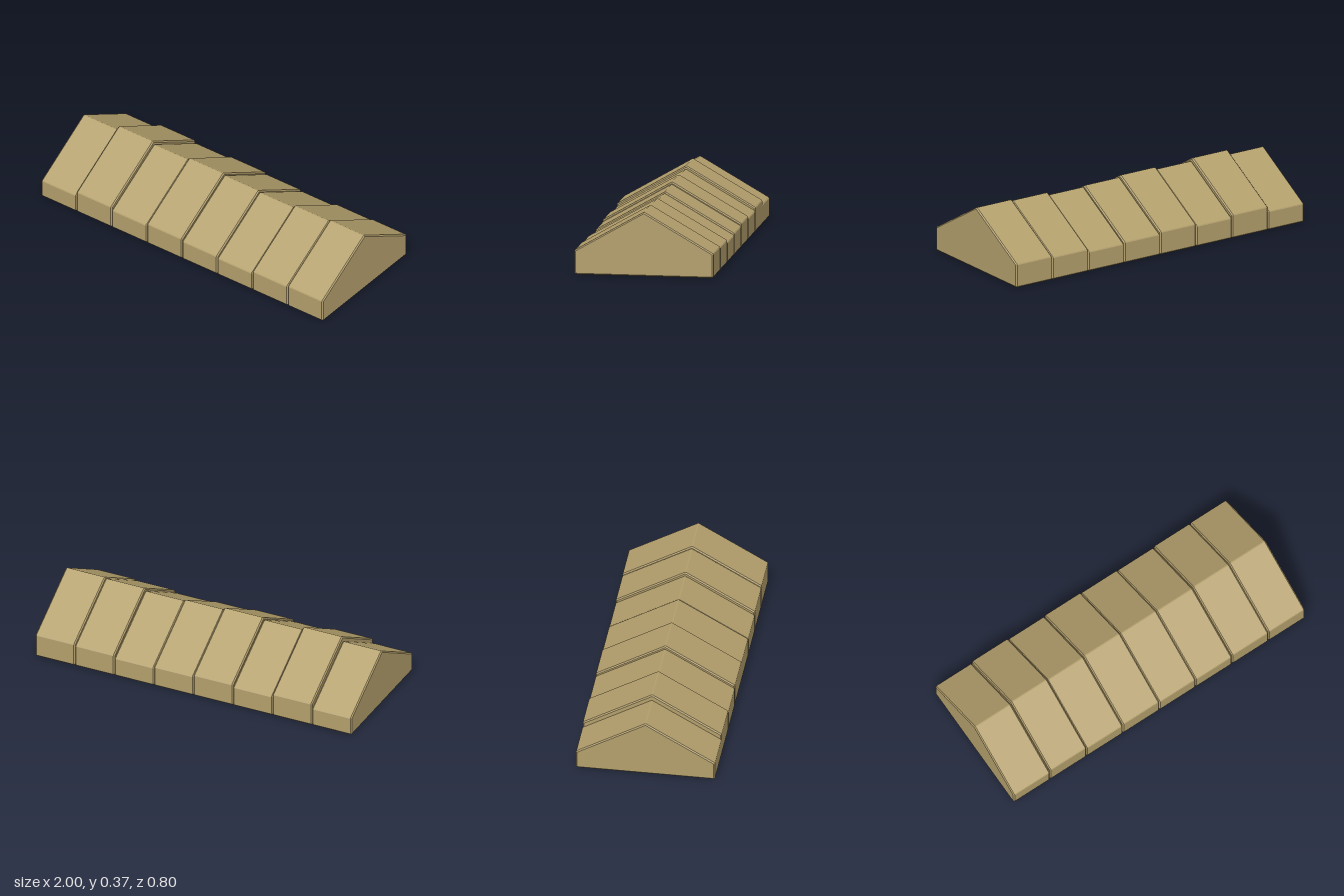
import * as THREE from 'three';
import { ConvexGeometry } from 'three/addons/geometries/ConvexGeometry.js';

const HALF_DEPTH = 0.4, WIDTH = 0.25, BEVEL = 0.007;
const TAN = Math.tan(Math.PI / 6), COS = Math.cos(Math.PI / 6), SIN = 0.5;

// Gabled block with a 30 degree roof and a small chamfer along every edge
function gableBlock(top) {
  const b = BEVEL, zi = HALF_DEPTH - b;
  const apex = top + b * (1 / COS - COS); // ridge height before chamfering
  const ridgeY = apex - b / COS;          // inset corner heights
  const eaveY = ridgeY - zi * TAN;
  const points = [];
  for (const s of [-1, 1]) {
    // inset corners, each with the directions of its two neighbouring faces
    const corners = [
      [0, ridgeY, [[SIN * s, COS]]],
      [zi * s, eaveY, [[SIN * s, COS], [s, 0]]],
      [zi * s, b, [[s, 0], [0, -1]]],
    ];
    for (const [z, y, normals] of corners) {
      for (const e of [-1, 1]) {
        points.push(new THREE.Vector3(e * WIDTH / 2, y, z));
        for (const [nz, ny] of normals) {
          points.push(new THREE.Vector3(e * (WIDTH / 2 - b), y + ny * b, z + nz * b));
        }
      }
    }
  }
  return new ConvexGeometry(points);
}

export function createModel() {
  const model = new THREE.Group();
  model.name = 'gabledCoping';
  const sandstone = new THREE.MeshStandardMaterial({ color: 0xb39f6c });
  sandstone.name = 'sandstone';

  // Row of blocks with slightly uneven ridge heights
  const tops = [0.34, 0.369, 0.351, 0.365, 0.353, 0.345, 0.362, 0.369];
  tops.forEach((top, i) => {
    const block = new THREE.Mesh(gableBlock(top), sandstone);
    block.name = `copingBlock${i + 1}`;
    block.position.x = (i - (tops.length - 1) / 2) * WIDTH;
    model.add(block);
  });
  return model;
}
